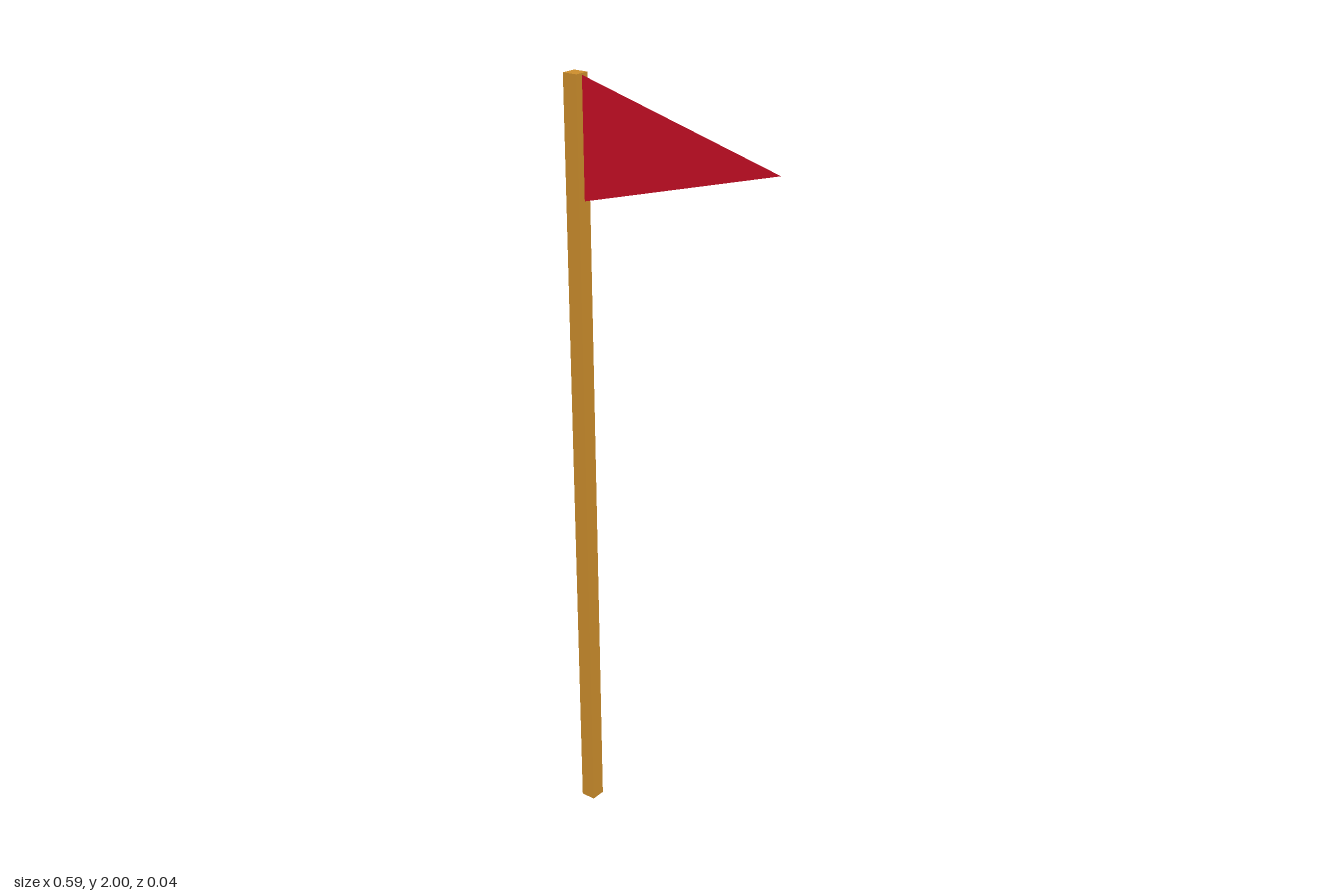
import * as THREE from 'three';

const POLE_X = -0.276, POLE_WIDTH = 0.04, HEIGHT = 2;

export function createModel() {
  const model = new THREE.Group();
  model.name = 'pennantFlag';

  // Square wooden pole, full height
  const pole = new THREE.Mesh(
    new THREE.BoxGeometry(POLE_WIDTH, HEIGHT, POLE_WIDTH),
    new THREE.MeshStandardMaterial({ color: 0xcc8e2c })
  );
  pole.name = 'pole';
  pole.position.set(POLE_X, HEIGHT / 2, 0);
  model.add(pole);

  // Thin triangular pennant, fixed to the middle of the pole's side
  const hoist = POLE_X + POLE_WIDTH / 2;
  const outline = new THREE.Shape([
    new THREE.Vector2(hoist, 1.7),
    new THREE.Vector2(0.296, 1.848),
    new THREE.Vector2(hoist, 1.996),
  ]);
  const pennant = new THREE.Mesh(
    new THREE.ShapeGeometry(outline),
    new THREE.MeshStandardMaterial({ color: 0xc80d24, side: THREE.DoubleSide })
  );
  pennant.name = 'pennant';
  model.add(pennant);

  return model;
}
